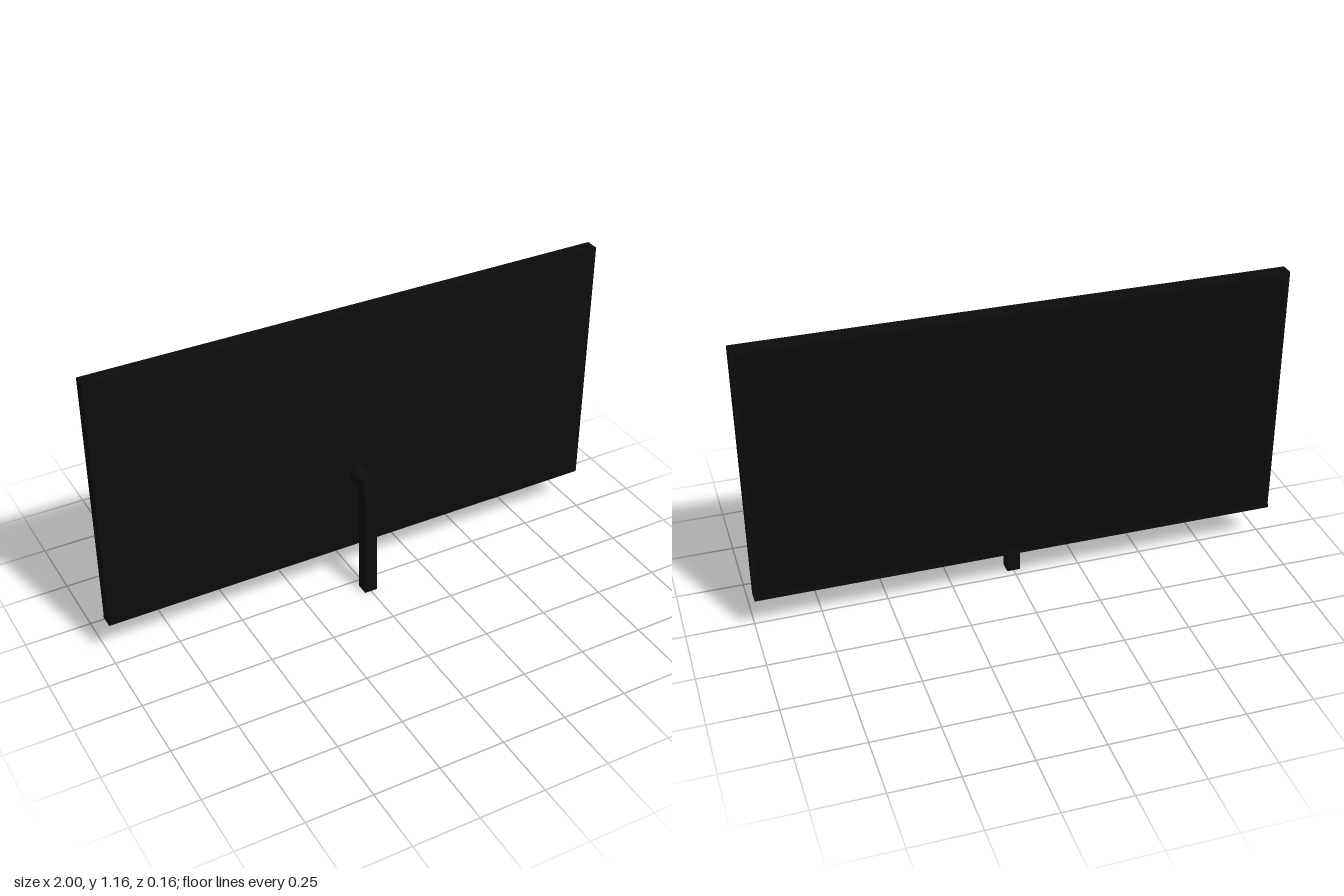
import * as THREE from 'three';

export function createModel() {
  const model = new THREE.Group();
  const casing = new THREE.MeshStandardMaterial({ name: 'casing black', color: 0x0c0c0c });
  const display = new THREE.MeshStandardMaterial({ name: 'display black', color: 0x0a0a0a });

  const add = (name, geometry, material, x, y, z) => {
    const mesh = new THREE.Mesh(geometry, material);
    mesh.name = name;
    mesh.position.set(x, y, z);
    model.add(mesh);
    return mesh;
  };

  // Flat panel, with the display face and a slim chin on the -z side
  add('panel', new THREE.BoxGeometry(2, 1, 0.05), casing, 0, 0.656, -0.05);
  add('screen', new THREE.BoxGeometry(1.97, 0.965, 0.002), display, 0, 0.6565, -0.0752);
  add('chin', new THREE.BoxGeometry(2, 0.016, 0.005), casing, 0, 0.164, -0.0765);

  // Square stand arm: side profile in (z, y), extruded across x
  const profile = new THREE.Shape();
  profile.moveTo(0.03, 0);
  profile.lineTo(0.08, 0);
  profile.lineTo(0.08, 0.34);
  profile.quadraticCurveTo(0.079, 0.45, 0.063, 0.5);
  profile.lineTo(-0.02, 0.5);
  profile.lineTo(-0.02, 0.452);
  profile.lineTo(0.03, 0.452);
  profile.closePath();
  const arm = new THREE.ExtrudeGeometry(profile, { depth: 0.05, bevelEnabled: false, curveSegments: 10 });
  arm.translate(0, 0, -0.025);
  arm.rotateY(-Math.PI / 2);
  add('standArm', arm, casing, 0, 0, 0);

  // Ball joint between arm and panel
  add('ballJoint', new THREE.SphereGeometry(0.035, 32, 20), casing, 0, 0.476, -0.017);

  return model;
}
